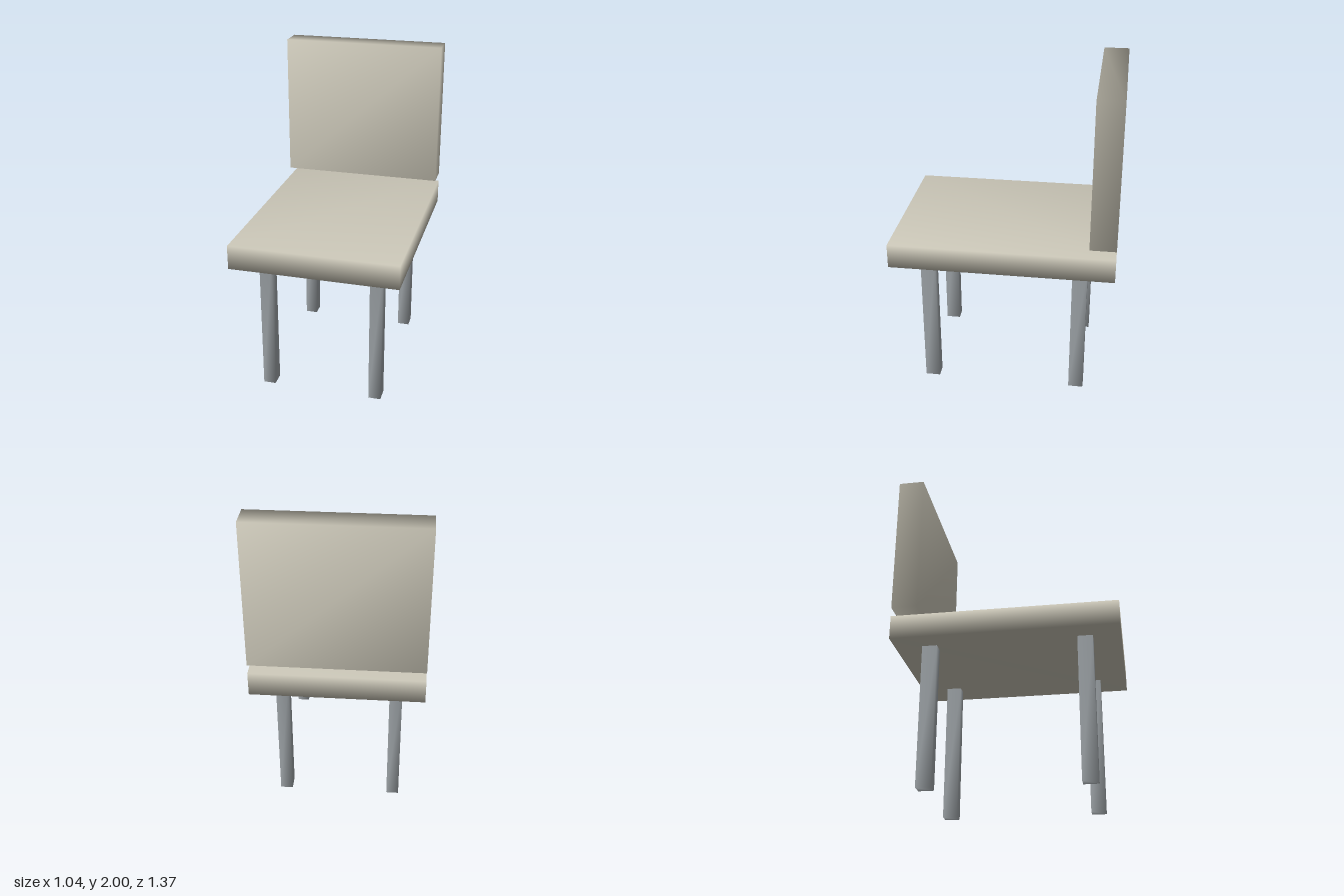
import * as THREE from 'three';
import { mergeVertices } from 'three/addons/utils/BufferGeometryUtils.js';

const cushionMaterial = new THREE.MeshStandardMaterial({ color: 0xcbc7b8 });
const legMaterial = new THREE.MeshStandardMaterial({ color: 0x9da3a7 });

// Box with welded corners, so the shading runs softly over its edges
function softBox(name, size, position, material) {
  const box = new THREE.BoxGeometry(...size);
  box.deleteAttribute('normal');
  box.deleteAttribute('uv');
  const geometry = mergeVertices(box);
  geometry.computeVertexNormals();
  const mesh = new THREE.Mesh(geometry, material);
  mesh.name = name;
  mesh.position.set(...position);
  return mesh;
}

export function createModel() {
  const chair = new THREE.Group();
  chair.name = 'chair';

  // Seat slab, with the backrest floating just above its rear edge
  chair.add(softBox('seat', [1.036, 0.15, 1.372], [0, 0.957, 0], cushionMaterial));
  chair.add(softBox('backrest', [1.036, 0.91, 0.159], [0, 1.545, -0.6065], cushionMaterial));

  // Four square-cut legs
  const legHeight = 0.882;
  for (const [end, z] of [['front', 0.472], ['back', -0.472]]) {
    for (const [side, x] of [['Left', 0.346], ['Right', -0.346]]) {
      chair.add(softBox(`${end}${side}Leg`, [0.077, legHeight, 0.092], [x, legHeight / 2, z], legMaterial));
    }
  }
  return chair;
}
